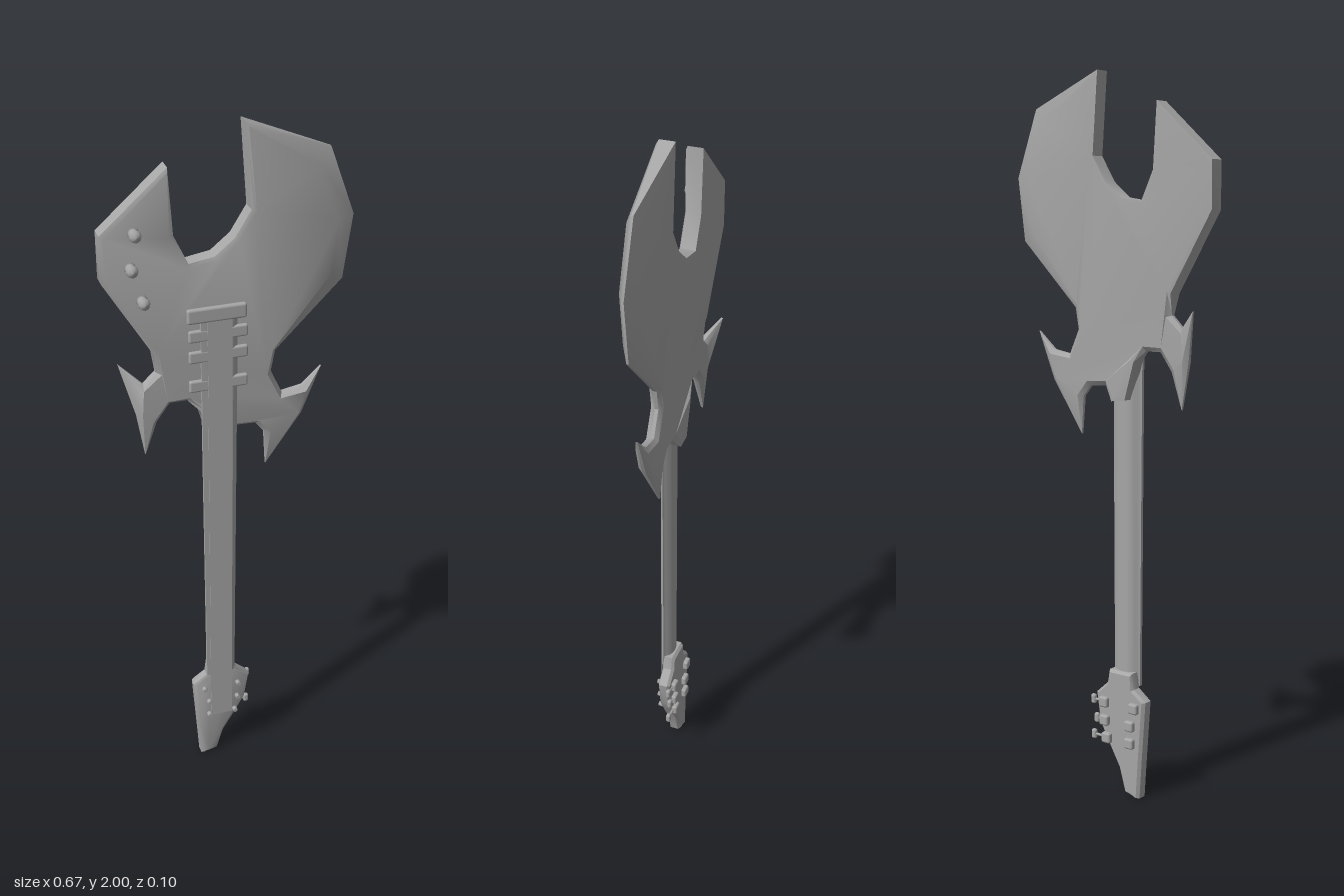
import * as THREE from 'three';
import { toCreasedNormals } from 'three/addons/utils/BufferGeometryUtils.js';
import { RoundedBoxGeometry } from 'three/addons/geometries/RoundedBoxGeometry.js';

// Edge styles: inset of the flat face, face z front/back, rim z front/back
const EDGE = {
  slab: [0.012, 0.015, -0.033, 0.010, -0.032],
  blade: [0.05, 0.015, -0.032, -0.011, -0.017],
  horn: [0.014, 0.009, -0.026, -0.006, -0.016],
  tip: [0, -0.010, -0.016, -0.010, -0.016],
  backTip: [0, -0.045, -0.050, -0.045, -0.050],
  head: [0.008, 0.014, -0.022, 0.010, -0.014],
};

// Clockwise outline [x, y, edge style] -> plate with shaped rims
function platedOutline(outline, crease = 0.6) {
  const pts = [...outline].reverse();
  const n = pts.length;
  const rings = [[], [], [], []];
  pts.forEach(([x, y, style], i) => {
    const [inset, zf, zb, rf, rb] = EDGE[style];
    const a = pts[(i + n - 1) % n], b = pts[(i + 1) % n];
    const d = new THREE.Vector2(b[0] - a[0], b[1] - a[1]).normalize();
    const ix = x - d.y * inset, iy = y + d.x * inset;
    rings[0].push([ix, iy, zf]);
    rings[1].push([x, y, rf]);
    rings[2].push([x, y, rb]);
    rings[3].push([ix, iy, zb]);
  });
  const idx = [];
  for (let r = 0; r < 3; r++) {
    for (let i = 0; i < n; i++) {
      const j = (i + 1) % n, a = r * n + i, b = r * n + j;
      idx.push(a, a + n, b, b, a + n, b + n);
    }
  }
  const inner = rings[0].map(([x, y]) => new THREE.Vector2(x, y));
  for (let [a, b, c] of THREE.ShapeUtils.triangulateShape(inner, [])) {
    if (THREE.ShapeUtils.area([inner[a], inner[b], inner[c]]) < 0) [b, c] = [c, b];
    idx.push(a, b, c, a + 3 * n, c + 3 * n, b + 3 * n);
  }
  const g = new THREE.BufferGeometry();
  g.setAttribute('position', new THREE.Float32BufferAttribute(rings.flat(2), 3));
  g.setIndex(idx);
  return toCreasedNormals(g, crease);
}

export function createModel() {
  const model = new THREE.Group();
  model.name = 'electricGuitar';
  const grey = new THREE.MeshStandardMaterial({ color: 0xa6a6a6 });
  grey.name = 'plain grey';

  const add = (name, geometry, x = 0, y = 0, z = 0) => {
    const mesh = new THREE.Mesh(geometry, grey);
    mesh.name = name;
    mesh.position.set(x, y, z);
    model.add(mesh);
    return mesh;
  };

  // Body with two large wings and barbed horns
  add('body', platedOutline([
    [0.037, 2.0, 'slab'], [0.265, 1.91, 'blade'], [0.333, 1.725, 'blade'],
    [0.31, 1.55, 'blade'], [0.127, 1.37, 'horn'], [0.116, 1.31, 'horn'],
    [0.148, 1.24, 'horn'], [0.206, 1.25, 'horn'], [0.26, 1.3, 'tip'],
    [0.206, 1.167, 'horn'], [0.106, 1.02, 'tip'], [0.1, 1.125, 'horn'],
    [0.074, 1.157, 'horn'], [0.02, 1.16, 'horn'], [-0.01, 1.12, 'slab'],
    [-0.055, 1.125, 'slab'], [-0.085, 1.23, 'slab'], [-0.116, 1.26, 'horn'],
    [-0.164, 1.26, 'horn'], [-0.2, 1.21, 'horn'], [-0.233, 1.11, 'tip'],
    [-0.254, 1.236, 'horn'], [-0.29, 1.374, 'backTip'], [-0.233, 1.326, 'horn'],
    [-0.2, 1.358, 'horn'], [-0.206, 1.416, 'slab'], [-0.333, 1.63, 'slab'],
    [-0.333, 1.756, 'slab'], [-0.159, 1.91, 'slab'], [-0.148, 1.735, 'slab'],
    [-0.11, 1.655, 'slab'], [-0.042, 1.666, 'slab'], [0.01, 1.708, 'slab'],
    [0.053, 1.777, 'slab'],
  ]));

  // Neck: flat front, rounded back, slightly narrower toward the headstock
  const section = new THREE.Shape();
  section.moveTo(-0.051, -0.021);
  section.lineTo(0.037, -0.021);
  section.lineTo(0.051, -0.012);
  section.lineTo(0.044, -0.009);
  section.quadraticCurveTo(0.03, 0.009, 0, 0.009);
  section.quadraticCurveTo(-0.03, 0.009, -0.044, -0.009);
  section.lineTo(-0.051, -0.012);
  section.closePath();
  const neck = new THREE.ExtrudeGeometry(section, { depth: 1.2, bevelEnabled: false, curveSegments: 5 });
  neck.rotateX(-Math.PI / 2);
  const p = neck.attributes.position;
  for (let i = 0; i < p.count; i++) p.setX(i, p.getX(i) * (0.86 + 0.117 * p.getY(i)));
  add('neck', toCreasedNormals(neck, 0.6), -0.033, 0.32, 0);

  // Headstock with a hooked end
  add('headstock', platedOutline([
    [-0.07, 0.36, 'head'], [0.008, 0.36, 'head'], [0.016, 0.32, 'head'],
    [0.055, 0.285, 'head'], [0.042, 0.2, 'head'], [0.012, 0.145, 'head'],
    [-0.026, 0.08, 'head'], [-0.046, 0.012, 'head'], [-0.07, 0.005, 'head'],
    [-0.096, 0.003, 'head'], [-0.104, 0.12, 'head'], [-0.116, 0.285, 'head'],
    [-0.076, 0.315, 'head'],
  ]));

  // Thin sheet of strings from the tuners to the bridge
  add('strings', new THREE.BoxGeometry(0.066, 1.36, 0.002), -0.033, 0.84, 0.022);

  // Bridge and pickups
  add('bridge', new RoundedBoxGeometry(0.16, 0.042, 0.016, 2, 0.007), -0.04, 1.513, 0.017);
  for (const y of [1.455, 1.395, 1.31]) {
    add('pickup', new RoundedBoxGeometry(0.16, 0.034, 0.014, 2, 0.006), -0.036, y, 0.015);
  }

  // Control knobs: slim stem and domed cap
  const knob = new THREE.LatheGeometry([[0, 0], [0.016, 0], [0.013, 0.008], [0.012, 0.02],
    [0.016, 0.022], [0.013, 0.032], [0, 0.036]].map(([r, h]) => new THREE.Vector2(r, h)), 12);
  knob.rotateX(Math.PI / 2);
  for (const [x, y] of [[-0.249, 1.756], [-0.26, 1.666], [-0.233, 1.575]]) {
    add('controlKnob', knob, x, y, 0.013);
  }

  // Tuners: front post, rear housing, and side shaft with button
  const post = new THREE.CylinderGeometry(0.007, 0.008, 0.016, 8).rotateX(Math.PI / 2);
  const housing = new RoundedBoxGeometry(0.03, 0.03, 0.018, 2, 0.006);
  const shaft = new THREE.CylinderGeometry(0.004, 0.004, 0.045, 8).rotateZ(Math.PI / 2);
  const button = new RoundedBoxGeometry(0.016, 0.028, 0.014, 2, 0.006);
  [[-0.084, 0.02, 0.265, 0.06], [-0.07, 0.018, 0.212, 0.048], [-0.07, 0.01, 0.162, 0.058]]
    .forEach(([left, right, y, end]) => {
      for (const x of [left, right]) {
        add('tunerPost', post, x, y, 0.019);
        add('tunerHousing', housing, x, y, -0.027);
      }
      add('tunerShaft', shaft, end - 0.022, y, -0.022);
      add('tunerButton', button, end, y, -0.022);
    });

  return model;
}
